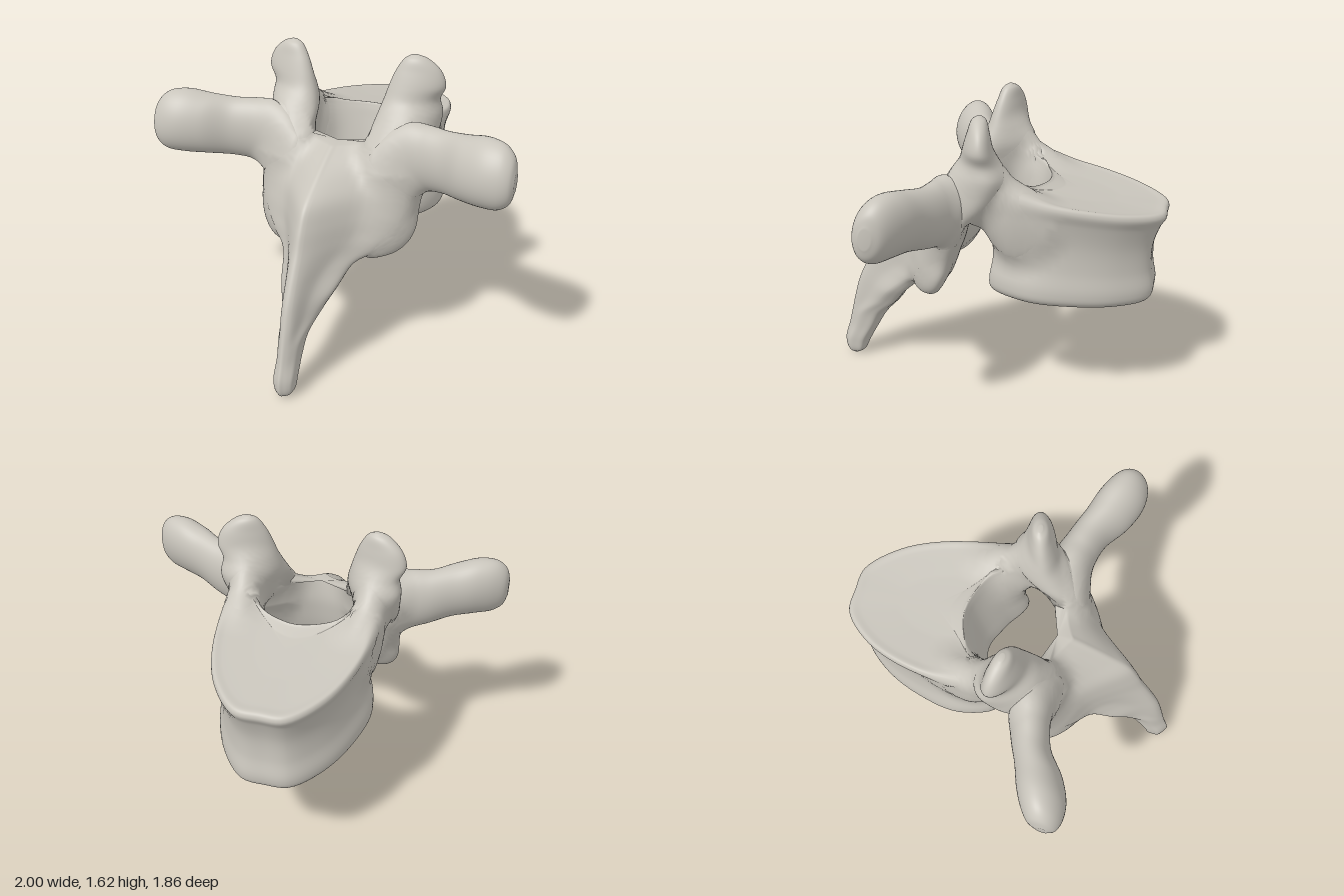
import * as THREE from 'three';

const V = (x, y, z) => new THREE.Vector3(x, y, z);
const lerp = THREE.MathUtils.lerp;
const RING = 48;

// Smooth skin through a list of closed rings, capped at both ends
function loft(rings, steps = 6) {
  const n = rings[0].length;
  const rows = (rings.length - 1) * steps;
  const columns = rings[0].map((_, j) => new THREE.CatmullRomCurve3(rings.map((r) => r[j])));
  const points = [];
  for (let i = 0; i <= rows; i++) {
    for (let j = 0; j < n; j++) points.push(columns[j].getPoint(i / rows));
  }
  const middle = (ring) => ring.reduce((s, p) => s.add(p), V(0, 0, 0)).divideScalar(n);
  const startPole = points.push(middle(rings[0])) - 1;
  const endPole = points.push(middle(rings[rings.length - 1])) - 1;

  const faces = [];
  for (let j = 0; j < n; j++) {
    const k = (j + 1) % n;
    for (let i = 0; i < rows; i++) {
      const a = i * n + j, b = i * n + k;
      faces.push([a, b, b + n], [a, b + n, a + n]);
    }
    faces.push([startPole, k, j], [endPole, rows * n + j, rows * n + k]);
  }
  // Turn the faces outward
  const volume = faces.reduce((s, [a, b, c]) =>
    s + points[a].dot(points[b].clone().cross(points[c])), 0);
  if (volume < 0) faces.forEach((f) => f.reverse());

  const geometry = new THREE.BufferGeometry().setFromPoints(points);
  geometry.setIndex(faces.flat());
  geometry.computeVertexNormals();
  return geometry;
}

// Fillet the joints: near another part, swell the skin and share its normals
function blendJoints(geometries, reach) {
  const parts = geometries.map((g) => {
    g.computeBoundingBox();
    return {
      box: g.boundingBox.clone().expandByScalar(reach),
      p: g.attributes.position.array.slice(),
      n: g.attributes.normal.array.slice(),
    };
  });
  const point = V(0, 0, 0), normal = V(0, 0, 0), other = V(0, 0, 0), shared = V(0, 0, 0);
  geometries.forEach((g, self) => {
    const { position, normal: normals } = g.attributes;
    for (let i = 0; i < position.count; i++) {
      point.fromArray(parts[self].p, i * 3);
      normal.fromArray(parts[self].n, i * 3);
      shared.copy(normal);
      let strongest = 0;
      parts.forEach(({ box, p, n }, k) => {
        if (k === self || !box.containsPoint(point)) return;
        let near = reach * reach, at = -1;
        for (let j = 0; j < p.length; j += 3) {
          const dx = point.x - p[j], dy = point.y - p[j + 1], dz = point.z - p[j + 2];
          const d2 = dx * dx + dy * dy + dz * dz;
          if (d2 < near) { near = d2; at = j; }
        }
        if (at < 0) return;
        other.fromArray(n, at);
        // Fades with distance, and where the two skins face opposite ways
        const facing = THREE.MathUtils.clamp(1 + normal.dot(other), 0, 1);
        const h = (1 - Math.sqrt(near) / reach) * facing;
        shared.addScaledVector(other, h / (2 - h));
        strongest = Math.max(strongest, h);
      });
      shared.normalize();
      point.addScaledVector(shared, strongest * strongest * reach / 4);
      position.setXYZ(i, point.x, point.y, point.z);
      normals.setXYZ(i, shared.x, shared.y, shared.z);
    }
  });
}

// Elliptical ring spanned by two half-axis vectors
function oval(center, u, v) {
  return Array.from({ length: RING }, (_, i) => {
    const a = (i / RING) * Math.PI * 2;
    return center.clone().addScaledVector(u, Math.cos(a)).addScaledVector(v, Math.sin(a));
  });
}

// Mirrored closed outline in (x, z) from a right-half list of eight points
function outline(half) {
  const mirrored = half.slice(1, -1).reverse().map(([x, z]) => [-x, z]);
  const curve = new THREE.CatmullRomCurve3(
    [...half, ...mirrored].map(([x, z]) => V(x, 0, z)), true);
  return Array.from({ length: 84 }, (_, i) => curve.getPoint(i / 84));
}

// Drum-shaped body: waisted front and sides, tilted end plates
// Levels: [height fraction, inset, waist]
function bodyGeometry() {
  const top = outline([[0, -0.93], [0.13, -0.92], [0.28, -0.76], [0.37, -0.53],
    [0.395, -0.32], [0.35, -0.13], [0.21, -0.23], [0, -0.3]]);
  const bottom = outline([[0, -0.885], [0.13, -0.87], [0.27, -0.72], [0.37, -0.5],
    [0.415, -0.24], [0.33, -0.03], [0.18, -0.11], [0, -0.18]]);
  const levels = [[0.03, 0.4, 1], [0.01, 0.78, 1], [0, 0.9, 1], [0.05, 0.97, 1],
    [0.15, 1, 0.98], [0.35, 1, 0.92], [0.6, 1, 0.9], [0.83, 1, 0.95], [0.95, 1, 1],
    [1, 0.97, 1], [0.99, 0.85, 1], [0.965, 0.4, 1]];
  return loft(levels.map(([s, inset, waist]) => bottom.map((b, i) => {
    const depth = lerp(b.z, top[i].z, s) + 0.45;
    const x = lerp(b.x, top[i].x, s) * inset * waist;
    const z = -0.45 + depth * inset * (depth < 0 ? waist : 1);
    return V(x, lerp(0.59 + 0.09 * (z + 0.88), 1.1 + 0.17 * (z + 0.93), s), z);
  })));
}

// Laminae narrowing down into the spine: chevron slices
// [y, ridge z, inner z, wing x, wing z, wing half thickness]
function spineGeometry() {
  const slices = [
    [1.17, 0.27, 0.24, 0.25, 0.15, 0.02],
    [1.12, 0.36, 0.23, 0.34, 0.15, 0.06],
    [1.03, 0.5, 0.22, 0.39, 0.16, 0.075],
    [0.95, 0.605, 0.225, 0.41, 0.18, 0.075],
    [0.85, 0.66, 0.24, 0.4, 0.215, 0.07],
    [0.75, 0.7, 0.27, 0.35, 0.26, 0.065],
    [0.67, 0.74, 0.33, 0.265, 0.34, 0.06],
    [0.6, 0.775, 0.42, 0.195, 0.45, 0.05],
    [0.5, 0.82, 0.5, 0.15, 0.56, 0.05],
    [0.4, 0.85, 0.57, 0.1, 0.64, 0.05],
    [0.3, 0.875, 0.66, 0.065, 0.75, 0.05],
    [0.2, 0.9, 0.72, 0.055, 0.8, 0.045],
    [0.1, 0.93, 0.775, 0.055, 0.85, 0.04],
    [0.03, 0.922, 0.81, 0.045, 0.86, 0.03],
    [0, 0.885, 0.855, 0.012, 0.87, 0.008],
  ];
  return loft(slices.map(([y, ridge, inner, wx, wz, t]) => {
    const r = Math.min(0.03, wx * 0.35);
    const drop = Math.min(r * 0.6, (ridge - wz) * 0.2);
    return outline([
      [0, ridge], [r, ridge - drop],
      [Math.max(wx * 0.5, r * 2), lerp(ridge - drop, wz + t, 0.5 + wx * 0.25)],
      [wx * 0.95, wz + t * 0.9], [wx, wz], [wx * 0.92, wz - t],
      [wx * 0.5, lerp(inner, wz - t, 0.45)], [0, inner],
    ]).map((p) => p.setY(y));
  }));
}

// Short bridge from body to arch: [z, x, y, half width, half height]
const pedicle = (side) => loft([
  [-0.36, 0.31, 1.04, 0.03, 0.05],
  [-0.28, 0.315, 1.06, 0.065, 0.14],
  [-0.18, 0.33, 1.09, 0.085, 0.195],
  [-0.09, 0.335, 1.15, 0.085, 0.2],
  [-0.01, 0.335, 1.2, 0.09, 0.17],
  [0.07, 0.335, 1.2, 0.095, 0.13],
  [0.15, 0.33, 1.17, 0.09, 0.11],
  [0.2, 0.31, 1.14, 0.04, 0.05],
].map(([z, x, y, w, h]) => oval(V(side * x, y, z), V(w, 0, 0), V(0, h, 0))));

// Upright ear-shaped plate: [y, x, z, half width, sideways skew, half thickness]
const upperFacet = (side) => loft([
  [1.03, 0.31, 0.17, 0.09, -0.04, 0.04],
  [1.12, 0.31, 0.125, 0.13, -0.075, 0.07],
  [1.22, 0.315, 0.07, 0.145, -0.085, 0.095],
  [1.31, 0.33, 0.02, 0.148, -0.065, 0.115],
  [1.385, 0.335, 0.008, 0.135, -0.045, 0.094],
  [1.46, 0.362, 0.005, 0.14, -0.035, 0.078],
  [1.54, 0.365, 0.0, 0.112, -0.025, 0.058],
  [1.6, 0.352, 0.0, 0.06, -0.01, 0.038],
  [1.62, 0.345, 0.0, 0.02, 0, 0.012],
].map(([y, x, z, w, skew, t]) => oval(V(side * x, y, z), V(side * w, 0, skew), V(0, 0, t))));

// Rounded lobe hanging under the arch: [y, x, z, half width, half depth]
const lowerFacet = (side) => loft([
  [1.04, 0.33, 0.18, 0.08, 0.035],
  [0.95, 0.34, 0.205, 0.1, 0.05],
  [0.85, 0.335, 0.235, 0.105, 0.06],
  [0.75, 0.335, 0.265, 0.11, 0.062],
  [0.68, 0.32, 0.29, 0.1, 0.06],
  [0.635, 0.305, 0.305, 0.07, 0.048],
  [0.615, 0.295, 0.31, 0.03, 0.022],
].map(([y, x, z, w, d]) => oval(V(side * x, y, z), V(side * w, 0, -w * 0.5), V(0, 0, d))));

// Club-ended arm reaching sideways: [x, y, half height, z, half depth, lean]
const sideArm = (side) => loft([
  [0.22, 1.06, 0.08, 0.23, 0.035, 0],
  [0.3, 1.08, 0.16, 0.2, 0.075, 0],
  [0.4, 1.12, 0.19, 0.18, 0.095, 0],
  [0.49, 1.145, 0.176, 0.18, 0.105, 0],
  [0.6, 1.157, 0.163, 0.215, 0.105, 0.005],
  [0.72, 1.18, 0.163, 0.285, 0.122, 0.015],
  [0.84, 1.197, 0.17, 0.332, 0.125, 0.02],
  [0.93, 1.197, 0.157, 0.357, 0.102, 0.02],
  [0.98, 1.193, 0.115, 0.368, 0.07, 0.015],
  [1.0, 1.19, 0.05, 0.375, 0.03, 0.005],
].map(([x, y, h, z, d, lean]) => oval(V(side * x, y, z), V(0, h, -lean), V(0, 0, d))));

export function createModel() {
  const model = new THREE.Group();
  model.name = 'vertebra';
  const bone = new THREE.MeshStandardMaterial({ color: 0xc9c5bc });
  bone.name = 'bone';

  const parts = { vertebralBody: bodyGeometry(), laminaAndSpine: spineGeometry() };
  for (const [label, side] of [['left', 1], ['right', -1]]) {
    parts[`${label}Pedicle`] = pedicle(side);
    parts[`${label}UpperFacet`] = upperFacet(side);
    parts[`${label}LowerFacet`] = lowerFacet(side);
    parts[`${label}SideArm`] = sideArm(side);
  }
  blendJoints(Object.values(parts), 0.13);
  for (const [name, geometry] of Object.entries(parts)) {
    const mesh = new THREE.Mesh(geometry, bone);
    mesh.name = name;
    model.add(mesh);
  }
  return model;
}
